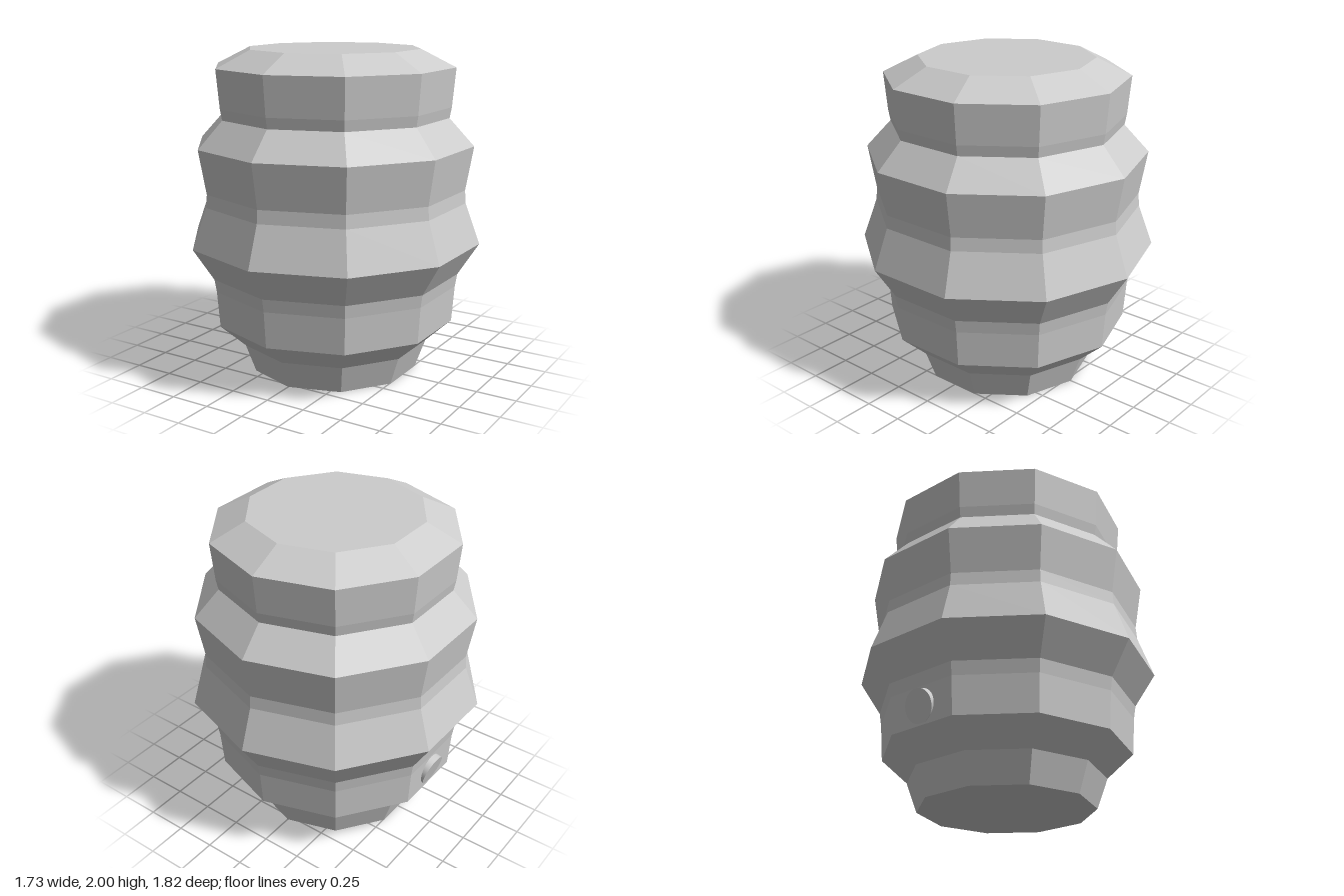
import * as THREE from 'three';

// Outer profile from base to lid: [corner radius, height]
const PROFILE = [
  [0, 0], [0.53, 0], [0.595, 0.18], [0.753, 0.325], [0.77, 0.55], [0.783, 0.63],
  [0.91, 0.83], [0.82, 1.08], [0.814, 1.16], [0.86, 1.43],
  [0.708, 1.595], [0.72, 1.66], [0.741, 1.895], [0.53, 2], [0, 2],
];

export function createModel() {
  const group = new THREE.Group();
  group.name = 'ribbedPot';
  const grey = new THREE.MeshStandardMaterial({ color: 0xcccccc });
  grey.name = 'light grey';

  // Ten-sided faceted body, with a corner on the z axis
  const points = PROFILE.map(([r, y]) => new THREE.Vector2(r, y));
  const geometry = new THREE.LatheGeometry(points, 10).toNonIndexed();
  geometry.computeVertexNormals();
  const body = new THREE.Mesh(geometry, grey);
  body.name = 'body';
  group.add(body);

  // Short round spout tilted slightly downwards on the -x side
  const tilt = 1.844, length = 0.2;
  const spout = new THREE.Mesh(new THREE.CylinderGeometry(0.1, 0.1, length, 32), grey);
  spout.name = 'spout';
  spout.rotation.z = tilt;
  spout.position.set(
    -0.743 + Math.sin(tilt) * length / 2,
    0.43 - Math.cos(tilt) * length / 2,
    0,
  );
  group.add(spout);

  return group;
}
